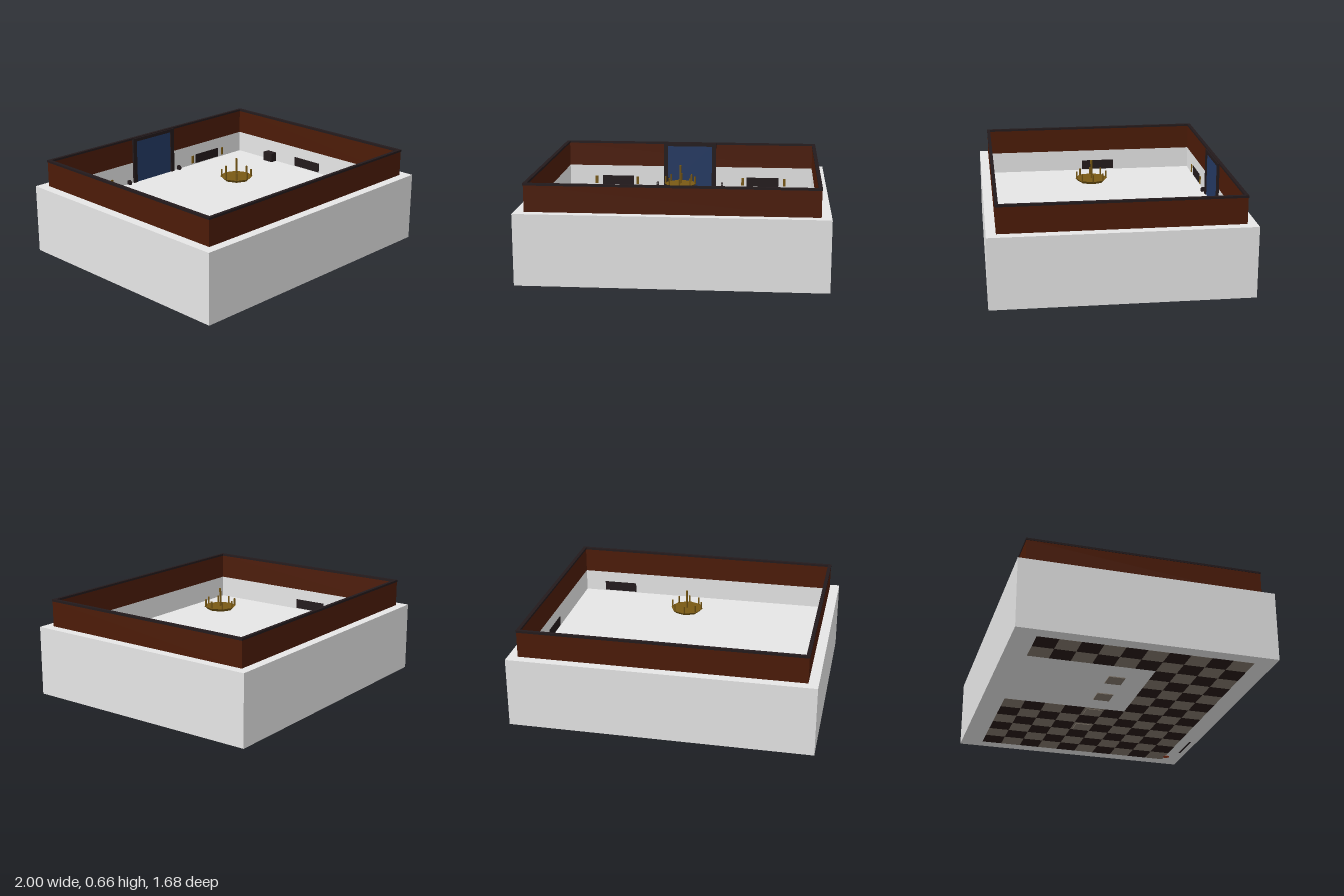
import * as THREE from 'three';
import { mergeGeometries } from 'three/addons/utils/BufferGeometryUtils.js';

const paint = (name, color) => {
  const m = new THREE.MeshStandardMaterial({ color });
  m.name = name;
  return m;
};

export function createModel() {
  const model = new THREE.Group();
  const stone = paint('pale stone', 0xe6e6e6);
  const wood = paint('red brown wood', 0x4c1b07);
  const trim = paint('dark trim', 0x231a1c);
  const brass = paint('old brass', 0x795914);
  const glass = paint('night blue', 0x243a64);
  const tileLight = paint('brown tile', 0x83786c);
  const tileDark = paint('black tile', 0x271a18);
  const clay = paint('red clay', 0x9a3a1c);

  const add = (name, geo, mat, parent = model) => {
    const mesh = new THREE.Mesh(geo, mat);
    mesh.name = name;
    parent.add(mesh);
    return mesh;
  };
  // Box from its lower and upper limits
  const span = (x0, x1, y0, y1, z0, z1) =>
    new THREE.BoxGeometry(x1 - x0, y1 - y0, z1 - z0)
      .translate((x0 + x1) / 2, (y0 + y1) / 2, (z0 + z1) / 2);
  // Rectangular ring of walls
  const ring = (ox, oz, ix, iz, y0, y1) => {
    const rect = (target, x, z) => target.moveTo(-x, -z).lineTo(x, -z).lineTo(x, z).lineTo(-x, z).closePath();
    const shape = rect(new THREE.Shape(), ox, oz);
    shape.holes.push(rect(new THREE.Path(), ix, iz));
    return new THREE.ExtrudeGeometry(shape, { depth: y1 - y0, bevelEnabled: false })
      .rotateX(-Math.PI / 2).translate(0, y0, 0);
  };

  const FLOOR = 0.323, IX = 0.917, IZ = 0.762;

  // Base block with a sunken room, walls and dark capping
  add('baseSlab', span(-1, 1, 0.006, FLOOR, -0.84, 0.84), stone);
  add('baseRim', ring(1, 0.84, IX, IZ, FLOOR, 0.475), stone);
  add('upperWalls', ring(0.935, 0.778, IX, IZ, 0.475, 0.646), wood);
  add('wallCapping', ring(0.938, 0.781, IX - 0.003, IZ - 0.003, 0.646, 0.66), trim);

  // Checkered underside, laid around a plain stone field
  const P = 0.14, light = [], dark = [];
  for (let i = -6; i <= 6; i++)
    for (let k = -4; k <= 5; k++) {
      if (i > -5 && i < 1 && k < 2) continue;
      const x = i * P, z = -0.06 + k * P;
      ((i + k) & 1 ? light : dark)
        .push(span(x - P / 2, x + P / 2, 0.0052, 0.0065, z - P / 2, z + P / 2));
    }
  add('darkTiles', mergeGeometries(dark), tileDark);
  add('lightTiles', mergeGeometries(light), tileLight);
  for (const x of [-0.42, -0.14, 0.14, 0.42])
    add('floorPad', span(x - 0.055, x + 0.055, 0, 0.006, -0.115, -0.005), tileLight);
  add('clayPlug', new THREE.CylinderGeometry(0.025, 0.025, 0.0015, 12).translate(0.85, 0.0053, 0.72), clay);
  add('darkSill', span(0.5, 0.74, 0.005, 0.0065, 0.785, 0.797), trim);

  // Tall blue panel in a dark frame on the back wall
  const panel = new THREE.Group();
  panel.name = 'backPanel';
  model.add(panel);
  add('bluePane', span(-0.17, 0.17, FLOOR, 0.64, -IZ, -0.756), glass, panel);
  add('frameTop', span(-0.198, 0.198, 0.632, 0.655, -IZ, -0.748), trim, panel);
  for (const s of [-1, 1]) {
    const post = add('framePost', span(-0.016, 0.016, FLOOR, 0.655, -IZ, -0.748), trim, panel);
    post.position.x = s * 0.182;
    // Small round bracket beside the panel
    const bracket = add('sideBracket', new THREE.CylinderGeometry(0.02, 0.02, 0.016, 10).rotateZ(Math.PI / 2), trim);
    bracket.position.set(s * 0.245, 0.336, -0.75);
  }

  // Low dark plaques, flush with the walls
  const plaque = (x, z) => add('wallPlaque', span(x - 0.12, x + 0.12, 0.328, 0.397, z - 0.002, z + 0.002), trim);
  plaque(-0.55, -IZ);
  plaque(0.55, -IZ);
  plaque(0.65, IZ);
  for (const s of [-1, 1]) {
    add('sidePlaque', span(s * IX - 0.002, s * IX + 0.002, 0.328, 0.397, -0.18, 0.06), trim);
    // Brass lamps flanking the back plaques
    for (const x of [0.4, 0.715])
      add('wallLamp', span(s * x - 0.01, s * x + 0.01, 0.335, 0.392, -IZ, -0.755), brass);
  }

  // Dark cabinet against the side wall
  add('cabinet', span(0.865, IX, FLOOR, 0.39, -0.455, -0.37), trim);

  // Eight-sided hanging light with upright candles
  const lamp = new THREE.Group();
  lamp.name = 'chandelier';
  lamp.position.set(0, 0.52, 0.092);
  model.add(lamp);
  const dish = new THREE.CylinderGeometry(0.11, 0.09, 0.02, 8).toNonIndexed();
  dish.computeVertexNormals();
  add('lampDish', dish, brass, lamp);
  add('lampRod', new THREE.CylinderGeometry(0.007, 0.007, 0.13, 8).translate(0, 0.07, 0), brass, lamp);
  for (let i = 0; i < 8; i++) {
    const a = i * Math.PI / 4;
    const candle = add('candle', new THREE.CylinderGeometry(0.006, 0.006, 0.05, 6), brass, lamp);
    candle.position.set(Math.sin(a) * 0.1, 0.033, Math.cos(a) * 0.1);
  }
  return model;
}
